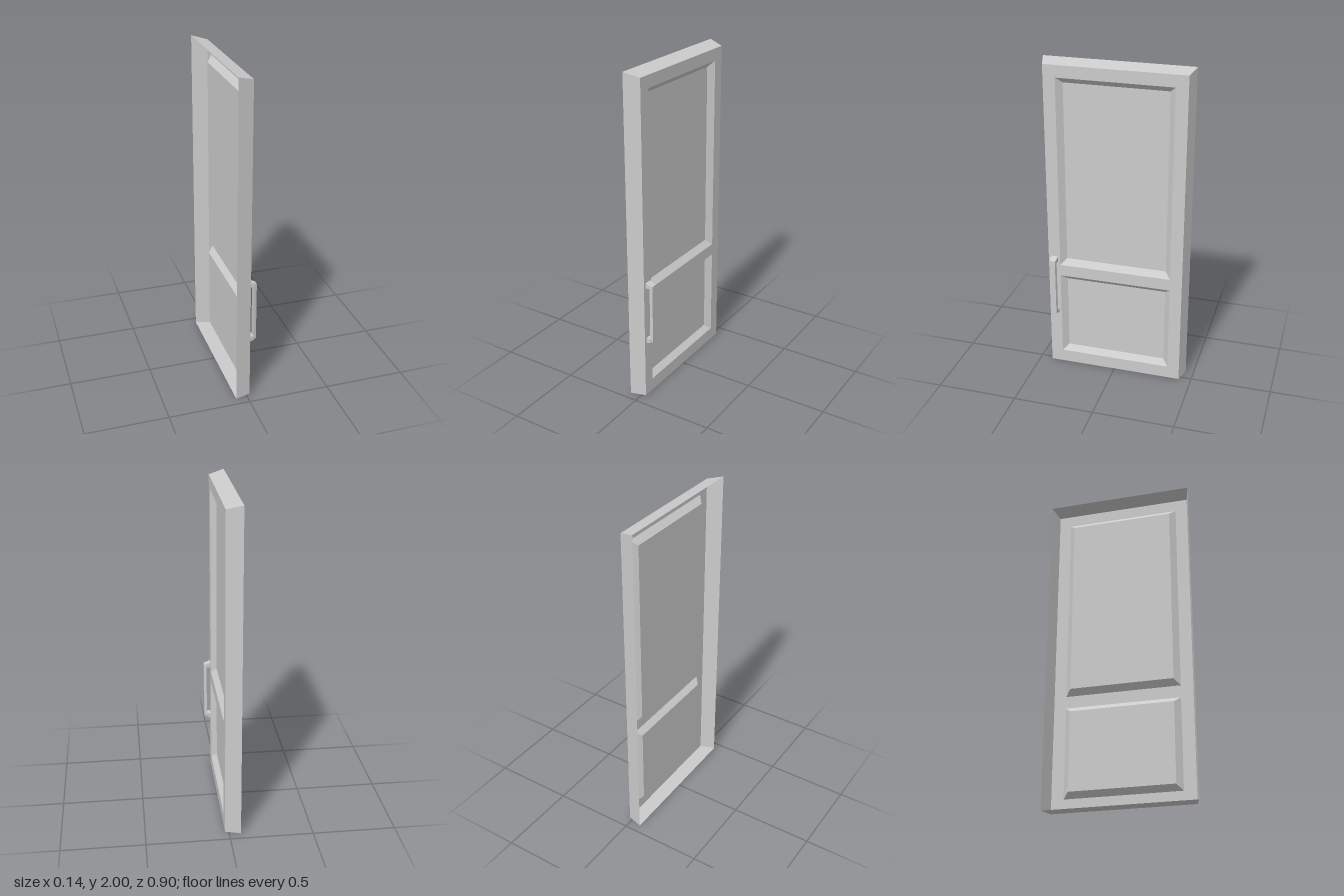
import * as THREE from 'three';

const BACK = -0.07, FACE = 0.023, PANEL = -0.01;

const material = new THREE.MeshStandardMaterial({
  color: 0xcccccc, flatShading: true, side: THREE.DoubleSide,
});

// Corners of an upright rectangle, anticlockwise as seen from its front
const corners = ({ w, y0, y1 }) => [[-w, y0], [w, y0], [w, y1], [-w, y1]];

// Four sloping walls from a larger rectangle to a smaller one
function walls(outer, outerDepth, inner, innerDepth) {
  const a = corners(outer), b = corners(inner), positions = [];
  for (let i = 0; i < 4; i++) {
    const j = (i + 1) % 4;
    const A = [...a[i], outerDepth], B = [...a[j], outerDepth];
    const C = [...b[j], innerDepth], D = [...b[i], innerDepth];
    positions.push(...A, ...B, ...C, ...A, ...C, ...D);
  }
  const geometry = new THREE.BufferGeometry();
  geometry.setAttribute('position', new THREE.Float32BufferAttribute(positions, 3));
  geometry.computeVertexNormals();
  return geometry;
}

// Flat sheet with optional rectangular openings
function sheet(rect, depth, openings = []) {
  const points = (r) => corners(r).map(([x, y]) => new THREE.Vector2(x, y));
  const shape = new THREE.Shape(points(rect));
  for (const o of openings) shape.holes.push(new THREE.Path(points(o).reverse()));
  return new THREE.ShapeGeometry(shape).translate(0, 0, depth);
}

// Add a mesh; sheets and walls are drawn facing +z and turned to face +x
function add(group, name, geometry, turn = true) {
  if (turn) geometry.rotateY(Math.PI / 2);
  const mesh = new THREE.Mesh(geometry, material);
  mesh.name = name;
  group.add(mesh);
}

// Pull handle: a bracket profile, narrowed towards its outer side
function handleGeometry() {
  const profile = [
    [FACE, 0.763], [0.05, 0.753], [0.066, 0.747], [0.066, 0.38], [0.05, 0.373], [FACE, 0.363],
    [FACE, 0.397], [0.05, 0.397], [0.05, 0.731], [FACE, 0.731],
  ].map(([x, y]) => new THREE.Vector2(x, y));
  const geometry = new THREE.ExtrudeGeometry(new THREE.Shape(profile), {
    depth: 0.043, bevelEnabled: false,
  }).translate(0, 0, -0.0215);
  const p = geometry.attributes.position;
  for (let i = 0; i < p.count; i++) if (p.getX(i) > 0.06) p.setZ(i, p.getZ(i) * 0.75);
  geometry.translate(0, 0, 0.385);
  geometry.computeVertexNormals();
  return geometry;
}

export function createModel() {
  const door = new THREE.Group();
  door.name = 'door';

  const backRim = { w: 0.45, y0: 0, y1: 2 };
  const frontRim = { w: 0.423, y0: 0, y1: 1.975 };
  const panels = [
    { name: 'upper', opening: { w: 0.349, y0: 0.706, y1: 1.902 }, inset: { w: 0.314, y0: 0.742, y1: 1.868 } },
    { name: 'lower', opening: { w: 0.349, y0: 0.08, y1: 0.632 }, inset: { w: 0.314, y0: 0.114, y1: 0.6 } },
  ];

  // Hollow door leaf, open at the back
  add(door, 'edgeWalls', walls(backRim, BACK, frontRim, FACE));
  add(door, 'frontFrame', sheet(frontRim, FACE, panels.map((p) => p.opening)));

  // Recessed panels with sloping surrounds
  for (const { name, opening, inset } of panels) {
    add(door, `${name}PanelSurround`, walls(opening, FACE, inset, PANEL));
    add(door, `${name}Panel`, sheet(inset, PANEL));
  }

  add(door, 'handle', handleGeometry(), false);
  return door;
}
